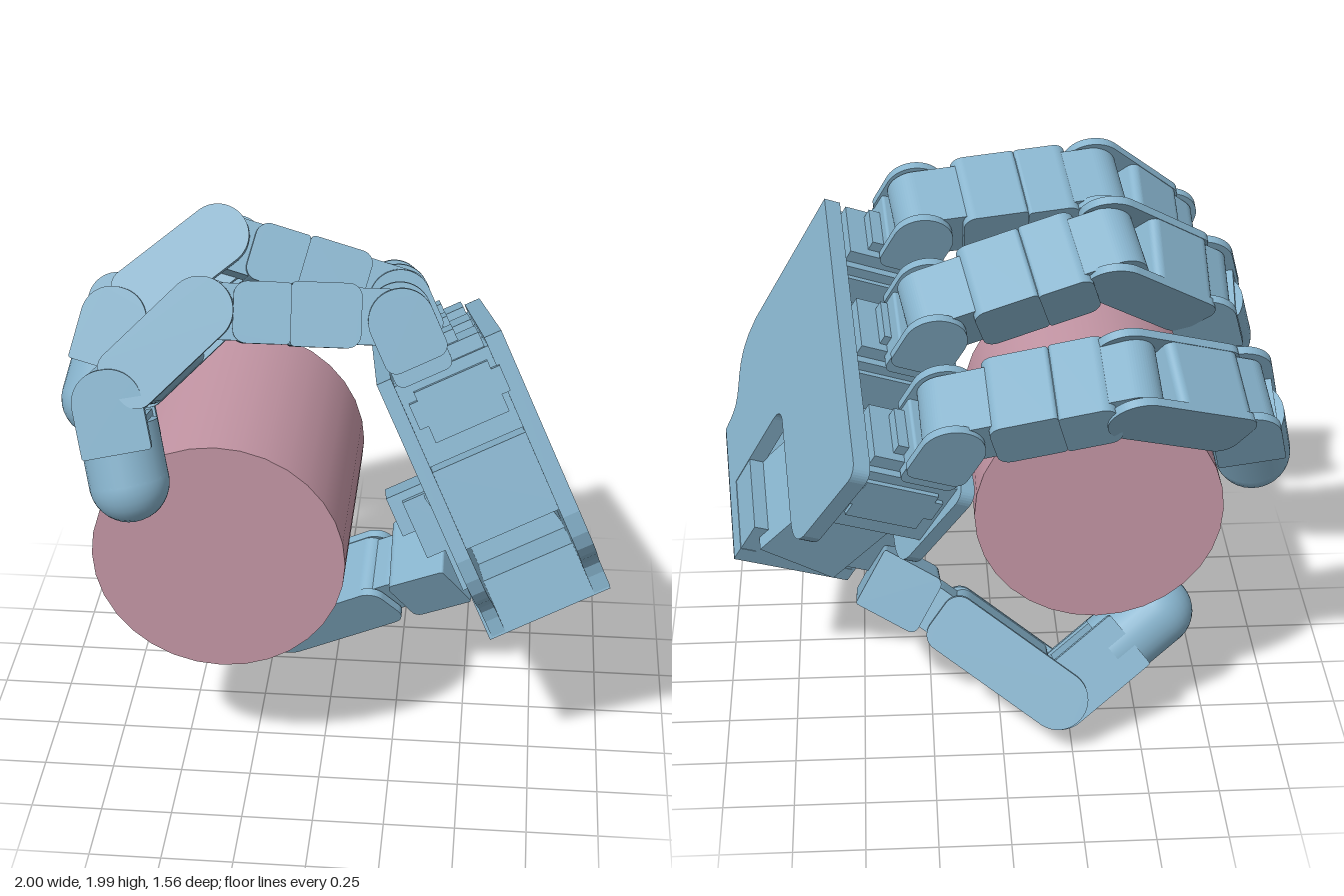
import * as THREE from 'three';

const V = (x, y, z) => new THREE.Vector3(x, y, z);
const blue = new THREE.MeshStandardMaterial({ color: 0x86b2cb });
const pink = new THREE.MeshStandardMaterial({ color: 0xc395a4 });

function add(parent, name, geometry, material = blue) {
  const mesh = new THREE.Mesh(geometry, material);
  mesh.name = name;
  parent.add(mesh);
  return mesh;
}

function addGroup(parent, name) {
  const g = new THREE.Group();
  g.name = name;
  parent.add(g);
  return g;
}

// Palm axes: U towards the fingers, W across the knuckles, N out of the back
const W = V(0.075, 0.35, 0.934).normalize();
const U = V(-0.433, 0.855, -0.286).normalize();
const N = U.clone().cross(W).normalize();
U.crossVectors(W, N);
const CORNER = V(0.59, 1.79, 0.43);

// Box in palm coordinates: s across, d down from the knuckles, n depth
function palmBox(parent, name, s0, s1, d0, d1, n0, n1) {
  const m = add(parent, name, new THREE.BoxGeometry(d1 - d0, s1 - s0, n1 - n0));
  m.position.set(-(d0 + d1) / 2, -(s0 + s1) / 2, (n0 + n1) / 2);
  return m;
}

function palmPlate(parent, name, n0, n1) {
  const p = (s, d) => [-d, -s];
  const sh = new THREE.Shape();
  sh.moveTo(...p(0, 0));
  sh.lineTo(...p(1.2, 0));
  sh.quadraticCurveTo(...p(1.25, 0), ...p(1.25, 0.05));
  sh.lineTo(...p(1.21, 0.41));
  sh.quadraticCurveTo(...p(1.19, 0.5), ...p(1.08, 0.5));
  sh.lineTo(...p(0.64, 0.5));
  sh.quadraticCurveTo(...p(0.57, 0.5), ...p(0.57, 0.57));
  sh.lineTo(...p(0.58, 0.93));
  sh.lineTo(...p(0.889, 0.93));
  sh.lineTo(...p(0.889, 0.99));
  sh.lineTo(...p(0.283, 0.99));
  sh.lineTo(...p(0.27, 0.93));
  sh.bezierCurveTo(...p(0.24, 0.8), ...p(0.04, 0.9), ...p(0.01, 0.65));
  const g = new THREE.ExtrudeGeometry(sh, { depth: n1 - n0, bevelEnabled: false, curveSegments: 8 });
  add(parent, name, g).position.z = n0;
}

// Frame with x running from a to b and z along the hinge axis
function frame(parent, name, a, b, axis) {
  const g = addGroup(parent, name);
  const x = b.clone().sub(a).normalize();
  const z = axis.clone().addScaledVector(x, -axis.dot(x)).normalize();
  const y = z.clone().cross(x);
  g.quaternion.setFromRotationMatrix(new THREE.Matrix4().makeBasis(x, y, z));
  g.position.copy(a);
  return g;
}

// Bar from x0 to x1, half height h, with corner radius r0 at x0 and r1 at x1
function bar(x0, x1, h, r0, r1, width) {
  const sh = new THREE.Shape();
  const q = Math.PI / 2;
  sh.absarc(x0 + r0, h - r0, r0, q, 2 * q, false);
  sh.absarc(x0 + r0, r0 - h, r0, 2 * q, 3 * q, false);
  sh.absarc(x1 - r1, r1 - h, r1, 3 * q, 4 * q, false);
  sh.absarc(x1 - r1, h - r1, r1, 0, q, false);
  return new THREE.ExtrudeGeometry(sh, { depth: width, bevelEnabled: false, curveSegments: 8 })
    .translate(0, 0, -width / 2);
}

// Pair of thin side plates
function cheeks(g, x0, x1, h, r0, r1, width) {
  for (const side of [-1, 1])
    add(g, 'cheekPlate', bar(x0, x1, h, r0, r1, 0.03)).position.z = side * (width / 2 - 0.015);
}

// Full-width motor block with a narrower neck reaching both hinges
function motorLink(parent, name, a, b, axis, x0, x1) {
  const g = frame(parent, name, a, b, axis);
  const L = a.distanceTo(b), mid = x0 + (x1 - x0) * 0.55;
  add(g, 'motorBlock', bar(x0, mid, 0.105, 0.045, 0.015, 0.28));
  add(g, 'motorCover', bar(mid, x1, 0.1, 0.015, 0.045, 0.29));
  add(g, 'hingeNeck', bar(-0.09, L + 0.09, 0.092, 0.091, 0.091, 0.23));
}

// Link whose cheeks wrap the near hinge around a motor body
function forkLink(parent, name, a, b, axis, width) {
  const g = frame(parent, name, a, b, axis);
  const L = a.distanceTo(b);
  cheeks(g, -0.11, L - 0.03, 0.108, 0.107, 0.06, width);
  add(g, 'motorBody', bar(0.1, L - 0.05, 0.106, 0.03, 0.05, width - 0.04));
  add(g, 'hingeNeck', bar(L - 0.15, L + 0.09, 0.09, 0.01, 0.089, 0.22));
}

// Last link with a rounded rubber tip; block is the length of its square housing
function tipLink(parent, name, a, b, axis, block, width) {
  const g = frame(parent, name, a, b, axis);
  const L = a.distanceTo(b);
  cheeks(g, -0.11, block, 0.115, 0.109, 0.01, width);
  const core = block - 0.07;
  add(g, 'tipHousing', new THREE.BoxGeometry(core, 0.21, width - 0.05)).position.x = 0.07 + core / 2;
  const start = Math.max(block - 0.08, 0.08);
  add(g, 'tipSleeve', new THREE.CylinderGeometry(0.133, 0.133, L - start, 28)
    .rotateZ(-Math.PI / 2)).position.x = (start + L) / 2;
  add(g, 'fingertip', new THREE.SphereGeometry(0.133, 28, 18)).position.x = L;
}

export function createModel() {
  const model = new THREE.Group();
  model.name = 'robotHandWithCylinder';

  // Held cylinder
  add(model, 'heldCylinder', new THREE.CylinderGeometry(0.435, 0.435, 0.88, 32)
    .rotateX(Math.PI / 2), pink).position.set(-0.34, 0.93, 0.09);

  // Palm shell
  const palm = addGroup(model, 'palm');
  palm.quaternion.setFromRotationMatrix(new THREE.Matrix4().makeBasis(U, W, N));
  palm.position.copy(CORNER);
  palmPlate(palm, 'backPlate', -0.06, 0);
  palmPlate(palm, 'innerPlate', -0.44, -0.39);
  palmBox(palm, 'sideWall', 0.015, 0.2, 0.34, 0.62, -0.41, -0.01);
  palmBox(palm, 'heelBlock', 0.285, 0.887, 0.8, 0.998, -0.45, -0.002);

  // Stepped knuckle motors
  for (const s of [0.145, 0.59, 1.07]) {
    palmBox(palm, 'knuckleMotor', s - 0.135, s + 0.135, 0.03, 0.32, -0.4, -0.05);
    palmBox(palm, 'motorStep', s - 0.11, s + 0.11, -0.02, 0.1, -0.37, -0.07);
    palmBox(palm, 'motorCap', s - 0.08, s + 0.08, -0.06, 0.1, -0.34, -0.14);
    palmBox(palm, 'motorLid', s - 0.165, s + 0.15, 0.07, 0.25, -0.34, -0.08);
    palmBox(palm, 'motorLidTab', s - 0.165, s + 0.15, 0.1, 0.19, -0.37, -0.05);
  }

  // Fingers: sideways swing in degrees, then three hinges and the tip centre
  const fingers = {
    frontFinger: [7, V(0.26, 1.77, 0.33), V(-0.38, 1.81, 0.415), V(-0.67, 1.55, 0.555), V(-0.61, 1.29, 0.65)],
    middleFinger: [13, V(0.23, 1.62, -0.14), V(-0.39, 1.82, -0.11), V(-0.72, 1.59, 0.05), V(-0.79, 1.34, 0.17)],
    backFinger: [8, V(0.19, 1.44, -0.57), V(-0.41, 1.575, -0.6), V(-0.8, 1.41, -0.44), V(-0.87, 1.13, -0.29)],
  };
  for (const [name, [swing, a, b, c, t]] of Object.entries(fingers)) {
    const g = addGroup(model, name);
    const axis = W.clone().applyAxisAngle(N, -THREE.MathUtils.degToRad(swing));
    const base = frame(g, 'knuckleLink', a, a.clone().sub(U), axis);
    cheeks(base, -0.11, 0.15, 0.108, 0.107, 0.04, 0.29);
    add(base, 'knuckleBody', bar(0.06, 0.2, 0.1, 0.01, 0.03, 0.25));
    motorLink(g, 'proximalLink', a, b, axis, 0.14, 0.555);
    forkLink(g, 'middleLink', b, c, axis, 0.29);
    tipLink(g, 'distalLink', c, t, axis, 0.17, 0.29);
  }

  // Thumb: its proximal cheeks wrap the outer hinge
  const thumb = addGroup(model, 'thumb');
  const T = V(-0.03, -0.44, 0.9).normalize();
  const jb = V(0.26, 0.47, -0.19), jc = V(-0.2, 0.165, -0.36), tip = V(-0.57, 0.42, -0.22);
  const proximal = frame(thumb, 'thumbProximal', jc, jb, T);
  cheeks(proximal, -0.108, 0.53, 0.108, 0.107, 0.06, 0.29);
  add(proximal, 'motorBody', bar(0.1, 0.51, 0.105, 0.03, 0.05, 0.25));
  add(proximal, 'hingeNeck', bar(0.4, 0.64, 0.08, 0.01, 0.079, 0.22));
  tipLink(thumb, 'thumbDistal', jc, tip, T, 0.33, 0.26);
  const base = frame(thumb, 'thumbBase', V(0.43, 0.56, -0.15), jb, T);
  add(base, 'thumbBaseBody', bar(-0.04, 0.2, 0.11, 0.01, 0.03, 0.29));

  // Thumb motor sitting in the palm notch, with its bracket
  const motor = palmBox(palm, 'thumbMotor', 0.57, 0.94, 0.46, 0.9, -0.42, -0.09);
  motor.rotation.y = 0.25;
  palmBox(palm, 'thumbBracket', 0.64, 0.92, 0.5, 0.72, -0.55, -0.34);
  palmBox(palm, 'bracketStep', 0.68, 0.88, 0.47, 0.62, -0.6, -0.4);
  palmBox(palm, 'bracketFoot', 0.64, 0.92, 0.66, 0.88, -0.48, -0.34);

  return model;
}
